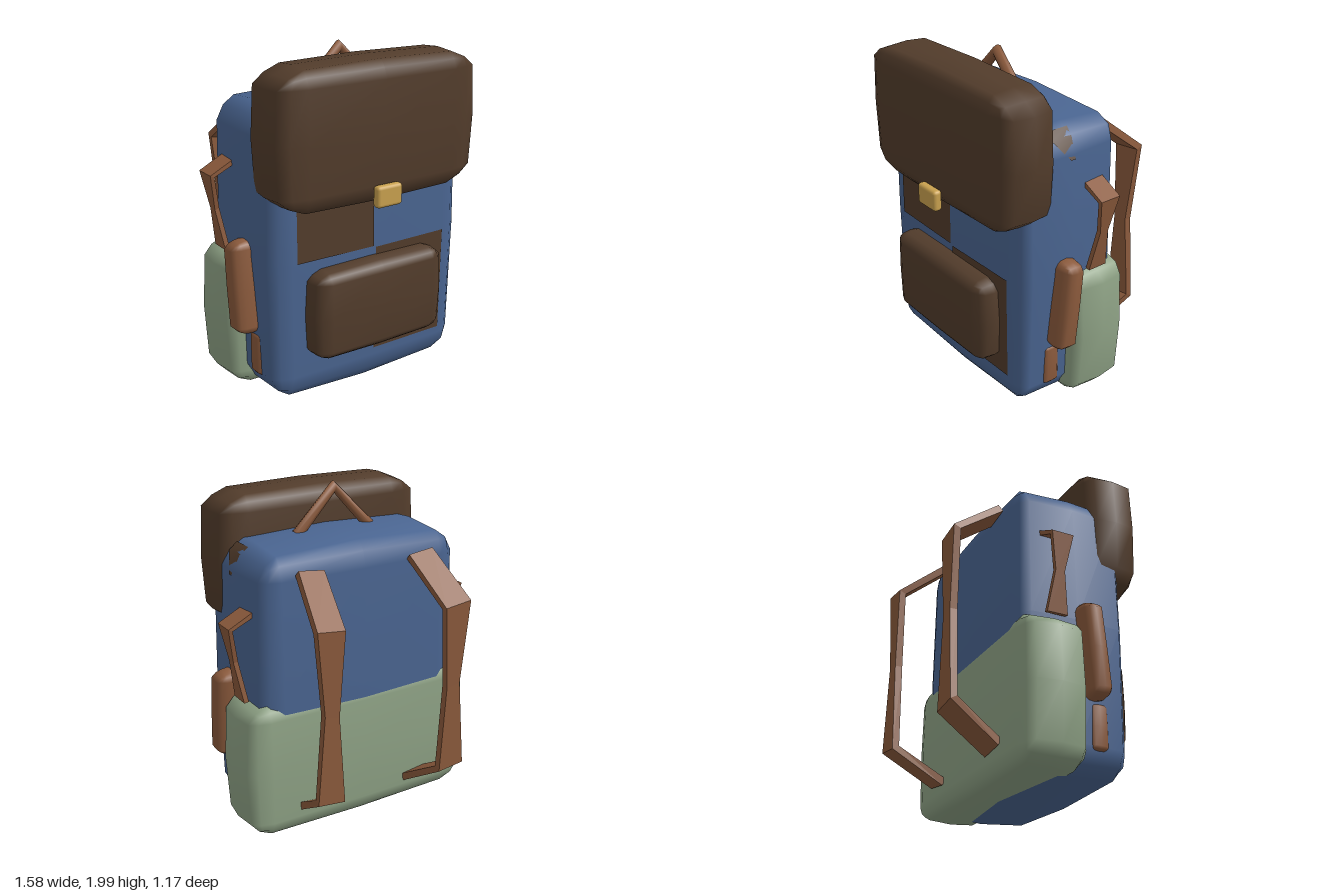
import * as THREE from 'three';
import { mergeVertices } from 'three/addons/utils/BufferGeometryUtils.js';
import { RoundedBoxGeometry } from 'three/addons/geometries/RoundedBoxGeometry.js';

const mat = (name, color, extra = {}) =>
  Object.assign(new THREE.MeshStandardMaterial({ color, ...extra }), { name });

// Puffy box: half sizes h, each face flat up to the fraction a, then a soft chamfer
function pillow(h, a, bulge = 0.025) {
  let g = new THREE.BoxGeometry(2, 2, 2, 4, 4, 4);
  g.deleteAttribute('normal');
  g.deleteAttribute('uv');
  g = mergeVertices(g);
  const pos = g.attributes.position;
  for (let i = 0; i < pos.count; i++) {
    const p = [pos.getX(i), pos.getY(i), pos.getZ(i)];
    const outer = p.filter(t => Math.abs(t) > 0.9).length;
    const inner = p.filter(t => Math.abs(t) > 0.1 && Math.abs(t) < 0.9).length;
    const k = 1 - bulge * (outer - 1 + inner);
    const q = p.map((t, j) => {
      if (Math.abs(t) < 0.1) return 0;
      const rim = [k, (a[j] + k) / 2 + 0.02, (2 * a[j] + k) / 3 + 0.03][outer - 1];
      return Math.sign(t) * h[j] * (Math.abs(t) > 0.9 ? rim : a[j]);
    });
    pos.setXYZ(i, ...q);
  }
  g.computeVertexNormals();
  return g;
}

// Flat strap through points; widths are half-width vectors, one per point
function strap(points, widths, thick) {
  const P = points.map(p => new THREE.Vector3(...p));
  const verts = [];
  const index = [];
  P.forEach((p, i) => {
    const dir = new THREE.Vector3();
    if (i > 0) dir.add(p.clone().sub(P[i - 1]).normalize());
    if (i < P.length - 1) dir.add(P[i + 1].clone().sub(p).normalize());
    const w = new THREE.Vector3(...widths[i]);
    const t = dir.cross(w).normalize().multiplyScalar(thick);
    for (const [u, v] of [[1, 1], [-1, 1], [-1, -1], [1, -1]])
      verts.push(...p.clone().addScaledVector(w, u).addScaledVector(t, v).toArray());
    if (i === 0) return;
    for (let c = 0; c < 4; c++) {
      const a0 = (i - 1) * 4 + c, a1 = (i - 1) * 4 + (c + 1) % 4;
      index.push(a0, a1, a1 + 4, a0, a1 + 4, a0 + 4);
    }
  });
  const e = (P.length - 1) * 4;
  index.push(0, 3, 2, 0, 2, 1, e, e + 1, e + 2, e, e + 2, e + 3);
  const g = new THREE.BufferGeometry();
  g.setAttribute('position', new THREE.Float32BufferAttribute(verts, 3));
  g.setIndex(index);
  const flat = g.toNonIndexed();
  flat.computeVertexNormals();
  return flat;
}

export function createModel() {
  const blue = mat('blue canvas', 0x4a6591);
  const brown = mat('dark brown leather', 0x523c2b);
  const brownPatch = mat('dark brown patch', 0x523c2b, { side: THREE.DoubleSide });
  const tan = mat('tan leather', 0x8b5a3c);
  const green = mat('green canvas', 0x8fa386);
  const gold = mat('brass', 0xc9a14f);

  const model = new THREE.Group();
  model.name = 'backpack';
  const add = (name, geometry, material, x = 0, y = 0, z = 0) => {
    const m = new THREE.Mesh(geometry, material);
    m.name = name;
    m.position.set(x, y, z);
    model.add(m);
    return m;
  };

  // Main bag
  const H = [0.67, 0.87, 0.35], A = [0.78, 0.8, 0.78];
  add('body', pillow(H, A), blue, 0, 0.87, 0.08);
  // Lower shell wrapping the back, sides and base
  add('lowerShell', pillow([0.775, 0.435, 0.202], [0.79, 0.74, 0.7]), green, 0, 0.445, -0.078);
  // Lid, front pocket and buckle
  add('lid', pillow([0.68, 0.403, 0.18], [0.71, 0.72, 0.68]), brown, 0, 1.557, 0.36);
  add('frontPocket', pillow([0.455, 0.27, 0.11], [0.77, 0.76, 0.5]), brown, 0, 0.55, 0.45);
  add('buckle', new RoundedBoxGeometry(0.17, 0.125, 0.055, 2, 0.02), gold, 0, 1.213, 0.562);

  // Patches lying on the sloped front of the bag
  const frontPatch = (name, x0, x1, y0, y1) => {
    const g = new THREE.PlaneGeometry(x1 - x0, y1 - y0);
    g.translate((x0 + x1) / 2, (y0 + y1) / 2, 0);
    const p = g.attributes.position;
    for (let i = 0; i < p.count; i++) {
      const fall = Math.abs(p.getX(i)) / (A[0] * H[0]) + Math.abs(p.getY(i) - 0.87) / (A[1] * H[1]);
      p.setZ(i, 0.08 + H[2] * (1 - 0.025 * fall) + 0.006);
    }
    g.computeVertexNormals();
    add(name, g, brownPatch);
  };
  frontPatch('upperPatch', -0.5, 0.005, 0.87, 1.22);
  frontPatch('lowerPatch', 0.02, 0.515, 0.22, 0.862);

  // Small patch over the left shoulder of the bag: rows of x, y, z range
  const side = new THREE.PlaneGeometry(1, 1, 1, 2);
  [[0.56, 1.692, 0.06, 0.2], [0.61, 1.65, 0.07, 0.2], [0.66, 1.54, 0.08, 0.11]].forEach(([x, y, z0, z1], r) => {
    side.attributes.position.setXYZ(r * 2, x, y, z1);
    side.attributes.position.setXYZ(r * 2 + 1, x, y, z0);
  });
  side.computeVertexNormals();
  add('shoulderPatch', side, brownPatch);

  // Carry handle
  const path = new THREE.CurvePath();
  const pts = [[-0.24, 1.71], [0, 1.96], [0.24, 1.71]].map(([x, y]) => new THREE.Vector3(x, y, 0.085));
  path.add(new THREE.LineCurve3(pts[0], pts[1]));
  path.add(new THREE.LineCurve3(pts[1], pts[2]));
  add('carryHandle', new THREE.TubeGeometry(path, 2, 0.034, 8), tan);

  // Straps and side pouches, mirrored
  for (const s of [1, -1]) {
    const label = s > 0 ? 'left' : 'right';
    add(label + 'ShoulderStrap', strap(
      [[0.36 * s, 1.6, -0.27], [0.413 * s, 1.365, -0.563], [0.405 * s, 0.88, -0.553], [0.41 * s, 0.36, -0.558], [0.36 * s, 0.18, -0.27]],
      [0.08, 0.085, 0.045, 0.085, 0.08].map(w => [w, 0.01 * s, 0]), 0.022), tan);
    add(label + 'SideStrap', strap(
      [[0.63 * s, 1.375, -0.065], [0.775 * s, 1.305, -0.065], [0.735 * s, 1.1, -0.065], [0.695 * s, 0.86, -0.065]],
      [0.066, 0.066, 0.028, 0.062].map(w => [0, 0, w]), 0.014), tan);
    const pouch = add(label + 'Pouch', pillow([0.097, 0.278, 0.07], [0.4, 0.82, 0.55]), tan, 0.678 * s, 0.69, 0.155);
    pouch.rotation.x = -0.09;
    add(label + 'LowerPouch', pillow([0.05, 0.135, 0.06], [0.5, 0.8, 0.55]), tan, 0.612 * s, 0.285, 0.205);
  }
  return model;
}
